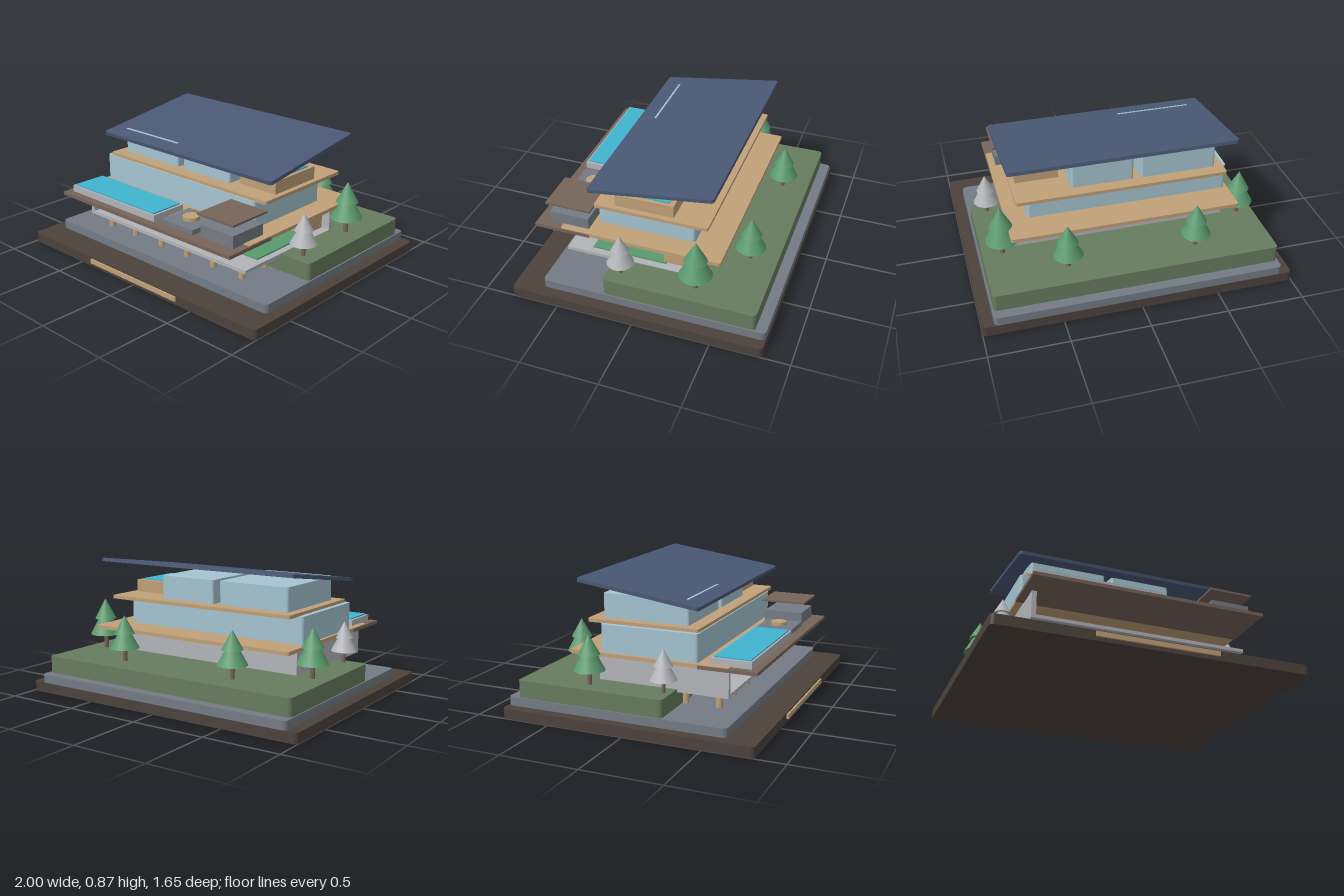
import * as THREE from 'three';

const mat = (name, color) => {
  const m = new THREE.MeshStandardMaterial({ color });
  m.name = name;
  return m;
};

export function createModel() {
  const M = {
    base: mat('dark umber', 0x4c423c),
    slate: mat('slate grey', 0x747b85),
    lawn: mat('lawn green', 0x667c5e),
    leaf: mat('foliage green', 0x5a9a6e),
    wood: mat('light timber', 0xc0a078),
    deck: mat('brown decking', 0x77645a),
    water: mat('pool cyan', 0x40b4d0),
    glass: mat('pale blue glass', 0xa5c4d1),
    navy: mat('navy roof', 0x4a5875),
    wall: mat('pale grey wall', 0xb2b4b8),
  };
  const model = new THREE.Group();
  model.name = 'terracedHouse';

  const add = (name, geometry, material, parent = model) => {
    const mesh = new THREE.Mesh(geometry, material);
    mesh.name = name;
    parent.add(mesh);
    return mesh;
  };

  // Plain box given by its extents
  const box = (name, m, x0, x1, y0, y1, z0, z1, parent) => {
    const mesh = add(name, new THREE.BoxGeometry(x1 - x0, y1 - y0, z1 - z0), m, parent);
    mesh.position.set((x0 + x1) / 2, (y0 + y1) / 2, (z0 + z1) / 2);
    return mesh;
  };

  // Slab with rounded corners in plan, given by its extents
  const slab = (name, m, x0, x1, y0, y1, z0, z1, r = 0.02) => {
    const w = (x1 - x0) / 2, d = (z1 - z0) / 2, h = y1 - y0;
    const s = new THREE.Shape();
    s.absarc(w - r, d - r, r, 0, Math.PI / 2);
    s.absarc(-w + r, d - r, r, Math.PI / 2, Math.PI);
    s.absarc(-w + r, -d + r, r, Math.PI, Math.PI * 1.5);
    s.absarc(w - r, -d + r, r, Math.PI * 1.5, Math.PI * 2);
    const g = new THREE.ExtrudeGeometry(s, { depth: h, bevelEnabled: false, curveSegments: 5 });
    g.translate(0, 0, -h / 2).rotateX(-Math.PI / 2);
    const mesh = add(name, g, m);
    mesh.position.set((x0 + x1) / 2, (y0 + y1) / 2, (z0 + z1) / 2);
    return mesh;
  };

  const cylinder = (name, m, r, x, y0, y1, z, parent) => {
    const mesh = add(name, new THREE.CylinderGeometry(r, r, y1 - y0, 20), m, parent);
    mesh.position.set(x, (y0 + y1) / 2, z);
    return mesh;
  };

  // Site: plinth, paving and lawn
  slab('plinth', M.base, -1, 1, 0, 0.065, -0.825, 0.813, 0.03);
  box('plinthPlaque', M.wood, -0.395, 0.385, 0.026, 0.056, 0.81, 0.825);
  slab('paving', M.slate, -0.93, 0.925, 0.065, 0.12, -0.822, 0.625, 0.03);
  slab('lawn', M.lawn, -0.92, 0.915, 0.12, 0.231, -0.755, 0.22, 0.025);

  // Stilts carrying the front of the ground floor
  for (const x of [-0.6, -0.36, -0.11, 0.125, 0.355, 0.59])
    for (const z of [0.455, 0.238]) cylinder('stilt', M.wood, 0.021, x, 0.12, 0.216, z);

  // Ground floor, open to the front and the +x side
  box('groundFloor', M.wall, -0.7, 0.7, 0.214, 0.236, -0.3, 0.55);
  box('sideWall', M.wall, -0.7, -0.67, 0.236, 0.393, -0.3, 0.55);
  box('backWall', M.wall, -0.67, 0.7, 0.236, 0.393, -0.3, -0.275);
  box('timberRoom', M.wood, 0.355, 0.64, 0.236, 0.37, -0.297, -0.085);
  box('greenMat', M.leaf, 0.25, 0.655, 0.236, 0.245, -0.105, 0.39);
  box('timberPanel', M.wood, 0.312, 0.346, 0.272, 0.37, 0.197, 0.234);
  box('darkPanel', M.base, 0.395, 0.435, 0.272, 0.372, 0.195, 0.236);

  // Parked cars
  [[-0.5, M.base], [-0.3, M.navy], [-0.1, M.wood], [0.13, M.base]].forEach(([x, paint]) => {
    const car = new THREE.Group();
    car.name = 'car';
    model.add(car);
    box('carBody', paint, x - 0.027, x + 0.027, 0.244, 0.265, 0.215, 0.352, car);
    box('carCabin', M.glass, x - 0.02, x + 0.02, 0.265, 0.281, 0.265, 0.33, car);
  });

  // First floor and its projecting deck
  slab('firstFloorSlab', M.wood, -0.746, 0.743, 0.393, 0.416, -0.48, 0.567, 0.015);
  box('deck', M.deck, -0.75, 0.747, 0.389, 0.411, 0.37, 0.74);
  slab('firstFloorGlazing', M.glass, -0.725, 0.603, 0.416, 0.59, -0.275, 0.363, 0.02);

  // Deck furniture: pool, fire table and pavilion
  box('poolSurround', M.wall, -0.705, 0.078, 0.411, 0.455, 0.438, 0.69);
  box('poolWater', M.water, -0.688, 0.062, 0.455, 0.463, 0.452, 0.678);
  box('firePlatform', M.slate, 0.127, 0.39, 0.411, 0.442, 0.43, 0.67);
  cylinder('fireTable', M.wood, 0.053, 0.26, 0.442, 0.465, 0.55);
  box('pavilionBlock', M.slate, 0.44, 0.697, 0.411, 0.49, 0.393, 0.655);
  box('pavilionCanopy', M.deck, 0.427, 0.712, 0.553, 0.566, 0.373, 0.672);

  // Second floor
  slab('secondFloorSlab', M.wood, -0.692, 0.686, 0.588, 0.61, -0.38, 0.355, 0.015);
  slab('upperGlazingRight', M.glass, -0.633, -0.135, 0.61, 0.763, -0.3, 0.27, 0.015);
  slab('upperGlazingLeft', M.glass, -0.087, 0.318, 0.61, 0.763, -0.3, 0.27, 0.015);
  box('terraceTub', M.wood, 0.37, 0.652, 0.61, 0.692, -0.155, 0.226);
  box('terraceWater', M.water, 0.395, 0.628, 0.692, 0.699, -0.12, 0.19);

  // Tilted roof with a slim skylight strip
  const roof = new THREE.Group();
  roof.name = 'roof';
  roof.position.set(0, 0.797, -0.027);
  roof.rotation.x = 0.142;
  model.add(roof);
  roof.add(slab('roofPanel', M.navy, -0.738, 0.735, -0.0115, 0.0115, -0.404, 0.404, 0.02));
  box('skylightStrip', M.glass, -0.632, -0.14, 0.0115, 0.015, 0.282, 0.295, roof);

  // Two-tier conifers: x, z, tip height, size, foliage
  const trees = [
    [-0.42, -0.58, 0.53, 0.095, M.leaf],
    [0.412, -0.58, 0.53, 0.095, M.leaf],
    [-0.812, -0.308, 0.545, 0.098, M.leaf],
    [0.785, -0.34, 0.572, 0.104, M.leaf],
    [-0.78, 0.17, 0.5, 0.083, M.wall],
    [0.808, 0.138, 0.508, 0.085, M.wall],
  ];
  for (const [x, z, tip, r, leaf] of trees) {
    const tree = new THREE.Group();
    tree.name = 'tree';
    model.add(tree);
    const h = tip - 0.231;
    cylinder('trunk', M.deck, r * 0.15, x, 0.229, 0.231 + h * 0.4, z, tree);
    for (const [y0, y1, k] of [[0.285, 0.87, 1], [0.6, 1, 0.7]]) {
      const cone = add('foliage', new THREE.ConeGeometry(r * k, h * (y1 - y0), 20), leaf, tree);
      cone.position.set(x, 0.231 + h * (y0 + y1) / 2, z);
    }
  }

  return model;
}
